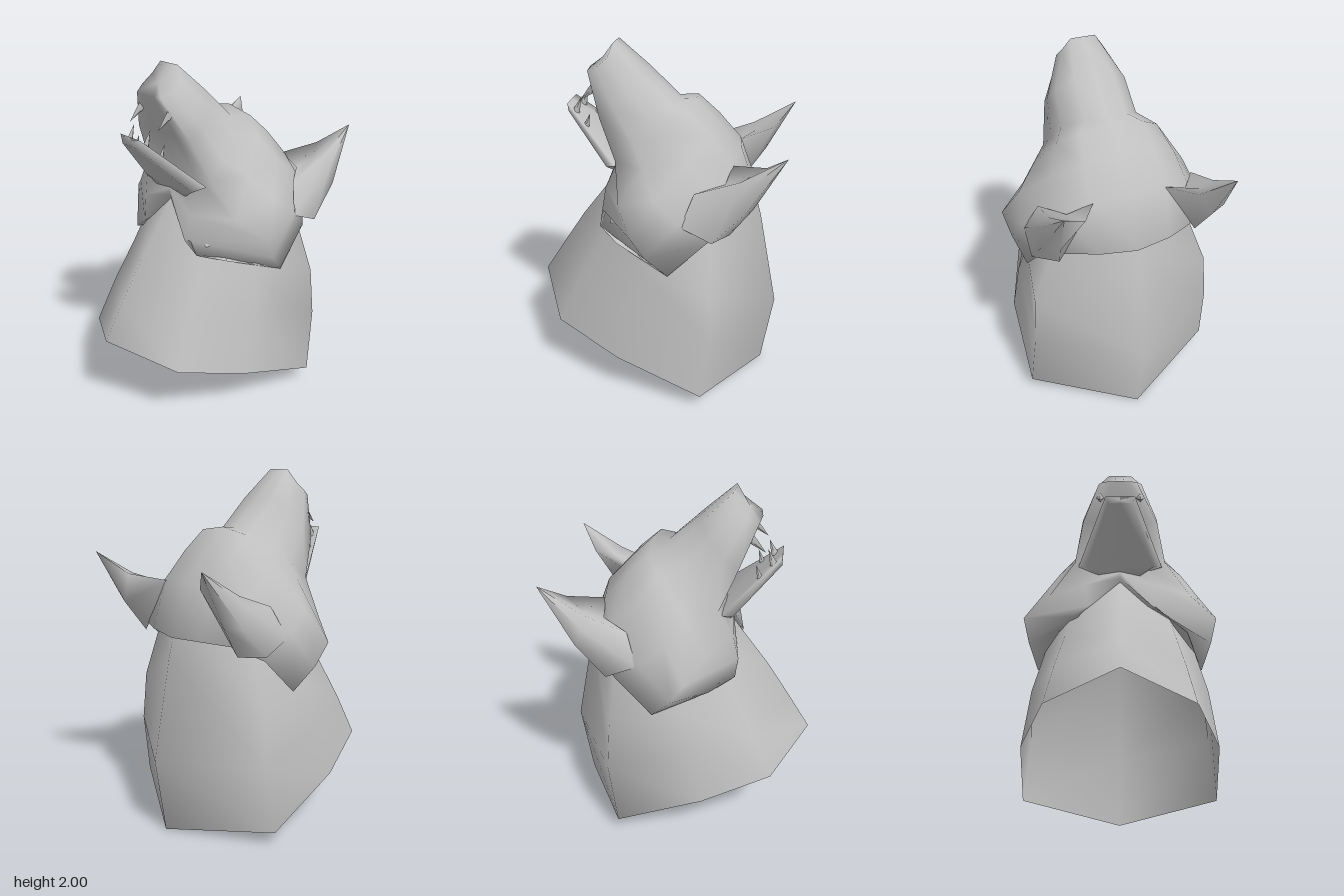
import * as THREE from 'three';

const grey = new THREE.MeshStandardMaterial({ color: 0xc0c0c0, side: THREE.DoubleSide });
grey.name = 'clay grey';

// Skin a list of equal-length closed rings smoothly, optionally capping each end.
function loft(rings, { capStart = false, capEnd = false } = {}) {
  const n = rings[0].length;
  const pos = rings.flat(2);
  const index = [];
  for (let i = 0; i < rings.length - 1; i++) {
    for (let j = 0; j < n; j++) {
      const k = (j + 1) % n;
      const a = i * n + j, b = i * n + k, c = a + n, d = b + n;
      index.push(a, b, c, b, d, c);
    }
  }
  const cap = (i, flip) => {
    const mid = [0, 1, 2].map(c => rings[i].reduce((s, p) => s + p[c], 0) / n);
    const m = pos.length / 3;
    pos.push(...mid);
    for (let j = 0; j < n; j++) {
      const a = i * n + j, b = i * n + (j + 1) % n;
      index.push(m, flip ? b : a, flip ? a : b);
    }
  };
  if (capStart) cap(0, true);
  if (capEnd) cap(rings.length - 1, false);
  const g = new THREE.BufferGeometry();
  g.setAttribute('position', new THREE.Float32BufferAttribute(pos, 3));
  g.setIndex(index);
  g.computeVertexNormals();
  return g;
}

// Complete a half ring (midline to midline, +x side) with its mirror image.
const whole = half => [...half, ...half.slice(1, -1).reverse().map(([x, y, z]) => [-x, y, z])];
// Mirror a closed ring, keeping its winding outward.
const mirrored = ring => ring.map(([x, y, z]) => [-x, y, z]).reverse();

export function createModel() {
  const model = new THREE.Group();
  const add = (name, geometry) => {
    const mesh = new THREE.Mesh(geometry, grey);
    mesh.name = name;
    model.add(mesh);
    return mesh;
  };

  // Open neck, slanted at the bottom
  const neck = [
    [[0, .49, .75], [.39, .38, .54], [.54, .27, .15], [.575, .09, -.35], [0, 0, -.66]],
    [[0, .7, .62], [.35, .63, .43], [.505, .62, .08], [.55, .47, -.4], [0, .44, -.72]],
    [[0, .92, .48], [.306, .87, .306], [.46, .83, .02], [.53, .76, -.38], [0, 1.02, -.6]],
    [[0, 1.27, .22], [.25, 1.2, .15], [.4, 1.12, -.05], [.38, 1.15, -.35], [0, 1.26, -.53]],
  ];
  add('neck', loft(neck.map(whole)));

  // Head sections: nose, muzzle base, brow, cheeks, crown and ruff
  const nose = [[0, 2, .25], [.07, 2, .25], [.12, 1.93, .27], [.13, 1.88, .33], [.1, 1.85, .39], [.05, 1.85, .395], [0, 1.85, .4]];
  const muzzle = [[0, 1.69, -.11], [.12, 1.68, -.09], [.22, 1.62, 0], [.25, 1.5, .1], [.27, 1.4, .2], [.14, 1.4, .2], [0, 1.4, .2]];
  const brow = [[0, 1.7, -.2], [.18, 1.67, -.19], [.29, 1.6, -.13], [.38, 1.41, .02], [.42, 1.2, .15], [.2, 1.2, .28], [0, 1.3, .26]];
  const cheeks = [[0, 1.58, -.32], [.2, 1.56, -.31], [.36, 1.46, -.22], [.5, 1.29, -.06], [.58, 1.1, .05], [.18, 1.05, .31], [0, 1.26, .26]];
  const crown = [[0, 1.42, -.47], [.22, 1.41, -.44], [.38, 1.33, -.38], [.53, 1.18, -.2], [.55, .97, -.02], [.27, .985, .3], [0, 1.2, .2]];
  const ruff = [[0, 1.13, -.58], [.2, 1.14, -.55], [.36, 1.13, -.47], [.48, 1.05, -.34], [.5, .84, -.14], [.39, .95, .17], [0, 1.05, .1]];
  // The snout bulges halfway along; the ruff tucks in under the neck.
  const snout = nose.map(([x, y, z], i) => {
    const [mx, my, mz] = muzzle[i];
    return [(x + mx) * .6, (y + my) / 2, (z + mz) / 2];
  });
  const tuck = ruff.map(([x, y, z]) => [x * .8, y + .03, z * .8]);
  add('head', loft([nose, snout, muzzle, brow, cheeks, crown, ruff, tuck].map(whole), { capStart: true }));

  // Lower jaw, from tip to hinge
  const jaw = [
    [[0, 1.65, .52], [.085, 1.65, .52], [.07, 1.6, .52], [0, 1.6, .52]],
    [[0, 1.35, .21], [.25, 1.36, .21], [.2, 1.33, .27], [0, 1.33, .27]],
    [[0, 1.33, .19], [.14, 1.33, .2], [.12, 1.28, .25], [0, 1.28, .25]],
  ];
  add('lowerJaw', loft(jaw.map(whole), { capStart: true, capEnd: true }));

  // Swept-back ears with a hollow front
  const ear = [
    [[.2, 1.4, -.44], [.34, 1.35, -.42], [.45, 1.33, -.27], [.52, 1.16, -.21], [.53, 1.09, -.38], [.4, 1.08, -.46]],
    [[.31, 1.45, -.63], [.38, 1.4, -.52], [.46, 1.42, -.5], [.52, 1.37, -.5], [.52, 1.27, -.54], [.43, 1.26, -.58]],
    Array(6).fill([.455, 1.57, -.74]),
  ];
  add('leftEar', loft(ear));
  add('rightEar', loft(ear.map(mirrored)));

  // Paired fangs, each a four-sided cone from root to tip
  const fangs = [
    ['upperFang', [.12, 1.77, .34], [.12, 1.69, .43], .028],
    ['lowerFrontFang', [.07, 1.6, .475], [.07, 1.69, .44], .022],
    ['lowerRearFang', [.11, 1.52, .41], [.11, 1.61, .38], .02],
  ];
  const up = new THREE.Vector3(0, 1, 0);
  for (const [name, root, tip, radius] of fangs) {
    for (const side of [1, -1]) {
      const a = new THREE.Vector3(root[0] * side, root[1], root[2]);
      const b = new THREE.Vector3(tip[0] * side, tip[1], tip[2]);
      const dir = b.clone().sub(a);
      const fang = add(name, new THREE.ConeGeometry(radius, dir.length(), 4));
      fang.position.copy(a).lerp(b, .5);
      fang.quaternion.setFromUnitVectors(up, dir.normalize());
    }
  }
  return model;
}
